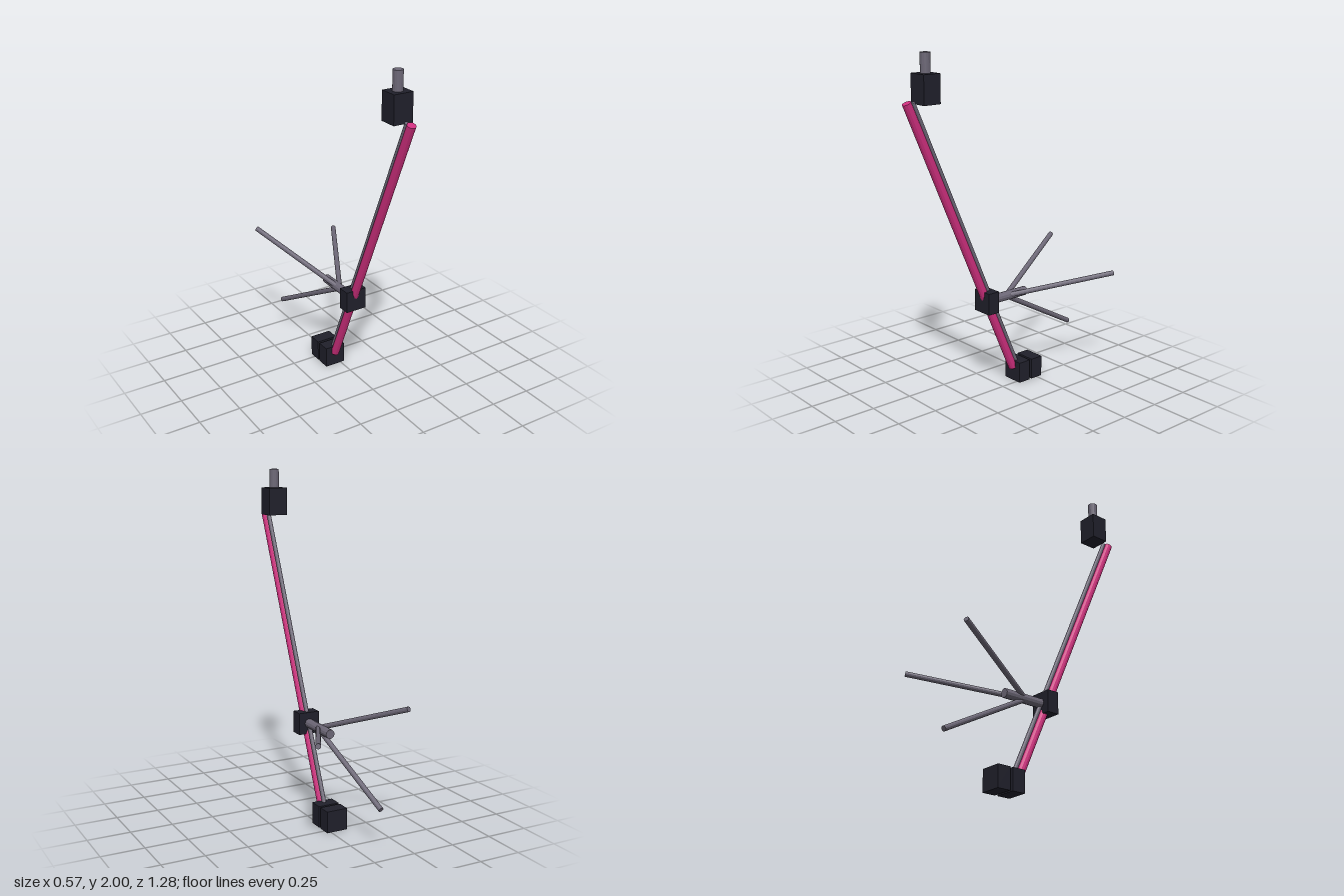
import * as THREE from 'three';

const mat = (name, color) => {
  const m = new THREE.MeshStandardMaterial({ color, flatShading: true });
  m.name = name;
  return m;
};

export function createModel() {
  const group = new THREE.Group();
  const pink = mat('pink', 0xcf2f7e);
  const steel = mat('steel grey', 0x6c6776);
  const black = mat('near black', 0x20202b);
  const X = -0.038; // centre line of the mast

  // Straight rod between two points
  const rod = (name, a, b, radius, material, sides = 12) => {
    const start = new THREE.Vector3(...a), end = new THREE.Vector3(...b);
    const axis = end.clone().sub(start);
    const mesh = new THREE.Mesh(new THREE.CylinderGeometry(radius, radius, axis.length(), sides), material);
    mesh.position.copy(start).add(end).multiplyScalar(0.5);
    mesh.quaternion.setFromUnitVectors(new THREE.Vector3(0, 1, 0), axis.normalize());
    mesh.name = name;
    group.add(mesh);
  };

  const block = (name, size, y, z) => {
    const mesh = new THREE.Mesh(new THREE.BoxGeometry(...size), black);
    mesh.position.set(X, y, z);
    mesh.name = name;
    group.add(mesh);
  };

  // Blocks: head, middle clamp and two feet
  block('headBlock', [0.116, 0.16, 0.106], 1.811, 0.494);
  block('clampBlock', [0.128, 0.128, 0.074], 0.55, 0.088);
  block('frontFoot', [0.128, 0.126, 0.08], 0.063, -0.15);
  block('rearFoot', [0.128, 0.126, 0.08], 0.063, -0.246);

  // Pin on the head
  rod('headPin', [X, 1.85, 0.494], [X, 2, 0.494], 0.028, steel, 16);

  // Leaning mast and the thin rod behind it
  rod('mast', [X, 0.085, -0.11], [X, 1.745, 0.617], 0.025, pink);
  rod('mastRod', [X, 0.085, -0.149], [X, 1.745, 0.578], 0.0125, steel);

  // Horizontal stub with three spreading prongs
  rod('stub', [X, 0.549, 0.08], [X, 0.549, -0.202], 0.027, steel);
  [[-0.273, 0.77], [0.275, 0.645], [-0.109, 0.233]].forEach(([x, y], i) =>
    rod('prong' + (i + 1), [X, 0.549, -0.055], [x, y, -0.633], 0.015, steel));

  return group;
}
